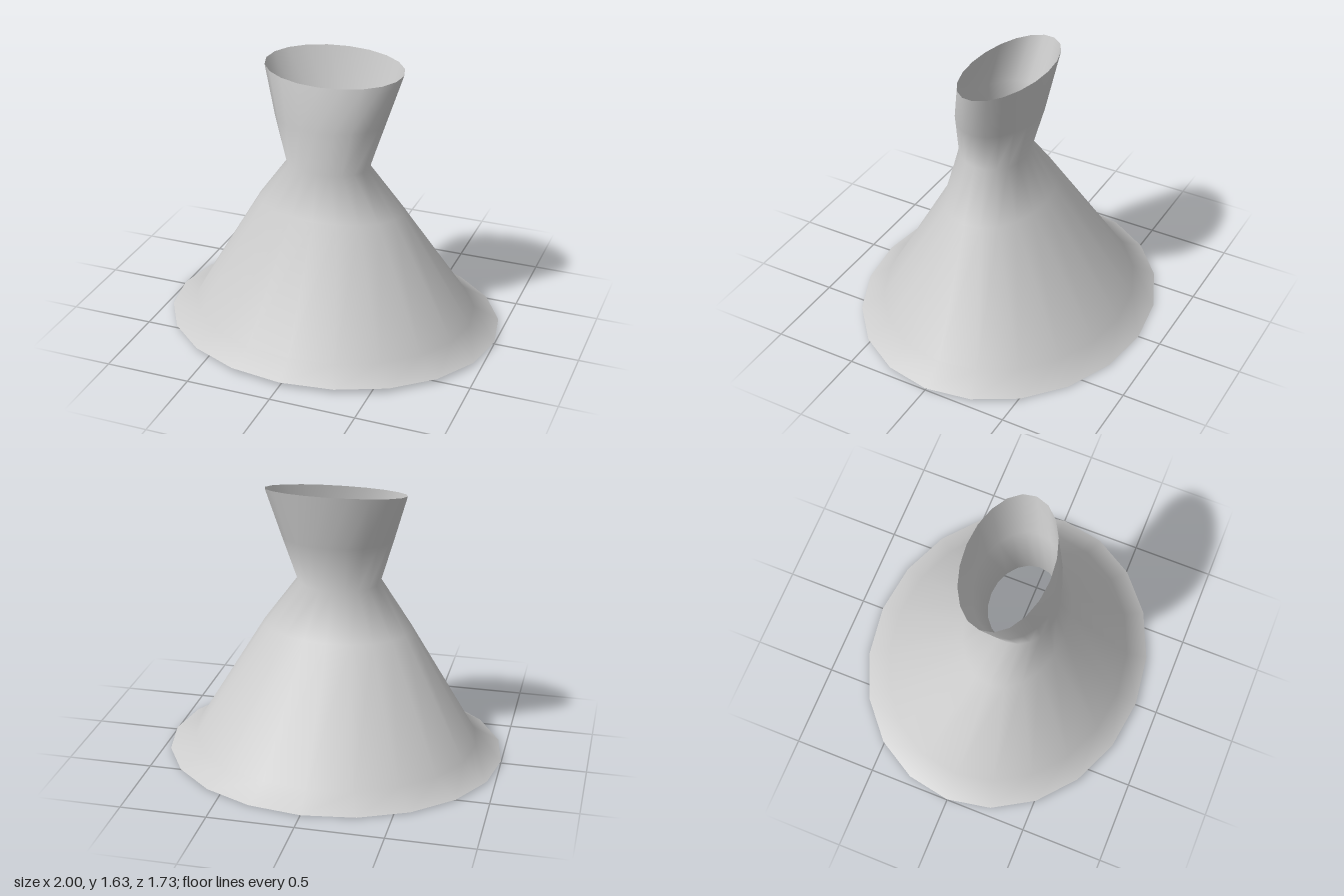
import * as THREE from 'three';

const SIDES = 20;

// Tilted elliptical rings, bottom to top: half width, front z, front y, back z, back y
const RINGS = [
  [1.0, 0.863, 0.028, -0.863, 0.003],   // skirt hem
  [0.848, 0.735, 0.112, -0.73, 0.09],   // skirt top
  [0.442, 0.355, 0.785, -0.238, 0.765], // shoulder
  [0.245, 0.297, 1.058, -0.1, 1.03],    // waist
  [0.328, 0.296, 1.31, -0.177, 1.32],   // neck
  [0.413, 0.245, 1.562, -0.235, 1.638], // rim
];

// Joins the rings into one open, smooth shell
function loft(rings) {
  const positions = [];
  const index = [];
  for (const [halfWidth, frontZ, frontY, backZ, backY] of rings) {
    for (let i = 0; i < SIDES; i++) {
      const a = (i / SIDES) * Math.PI * 2;
      const t = (1 + Math.cos(a)) / 2; // 1 at the front, 0 at the back
      positions.push(
        halfWidth * Math.sin(a),
        THREE.MathUtils.lerp(backY, frontY, t),
        THREE.MathUtils.lerp(backZ, frontZ, t),
      );
    }
  }
  for (let r = 0; r < rings.length - 1; r++) {
    for (let i = 0; i < SIDES; i++) {
      const a = r * SIDES + i;
      const b = r * SIDES + ((i + 1) % SIDES);
      index.push(a, b, b + SIDES, a, b + SIDES, a + SIDES);
    }
  }
  const geometry = new THREE.BufferGeometry();
  geometry.setAttribute('position', new THREE.Float32BufferAttribute(positions, 3));
  geometry.setIndex(index);
  geometry.computeVertexNormals();
  return geometry;
}

export function createModel() {
  const group = new THREE.Group();
  group.name = 'flaredFunnel';
  const material = new THREE.MeshStandardMaterial({ color: 0xcccccc, side: THREE.DoubleSide });

  // Flared skirt, cone, waist and leaning neck, open at both ends
  const shell = new THREE.Mesh(loft(RINGS), material);
  shell.name = 'funnelShell';
  group.add(shell);
  return group;
}
